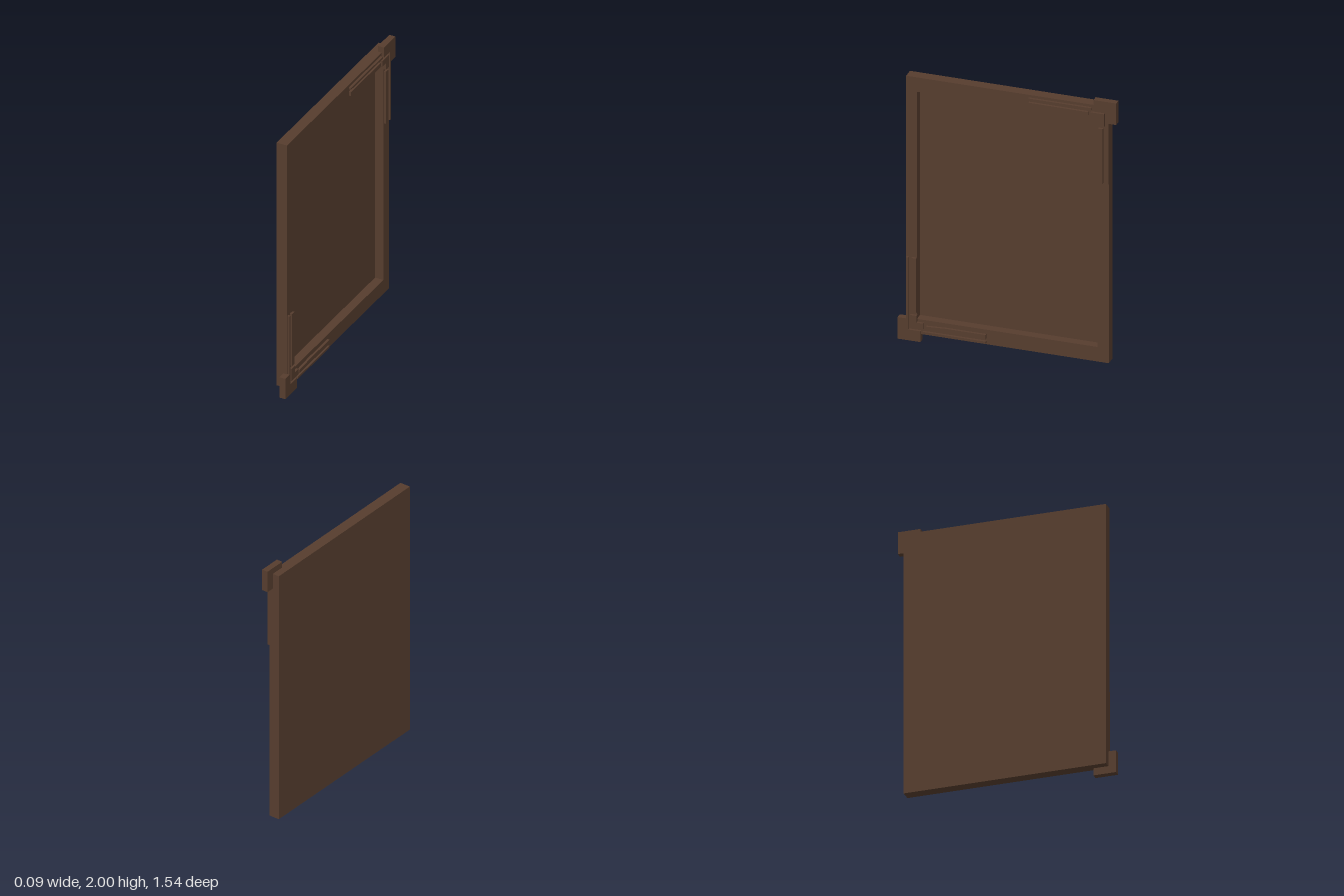
import * as THREE from 'three';

const wood = new THREE.MeshStandardMaterial({ color: 0x563d2e });

// Outline drawn in the plane seen from +x (first value runs towards -z), extruded along +x
function plate(name, points, x0, x1, hole) {
  const toVec = ([a, b]) => new THREE.Vector2(a, b);
  const shape = new THREE.Shape(points.map(toVec));
  if (hole) shape.holes.push(new THREE.Path(hole.map(toVec)));
  const geo = new THREE.ExtrudeGeometry(shape, { depth: x1 - x0, bevelEnabled: false });
  geo.rotateY(Math.PI / 2);
  geo.translate(x0, 0, 0);
  const mesh = new THREE.Mesh(geo, wood);
  mesh.name = name;
  return mesh;
}

const rect = (a0, a1, b0, b1) => [[a0, b0], [a1, b0], [a1, b1], [a0, b1]];

// Corner ornament for the upper corner; heights are measured from the panel centre
function cornerOrnament(name) {
  const g = new THREE.Group();
  g.name = name;
  const front = 0.045, seat = 0.02;
  g.add(
    // outer L-shaped corner block
    plate('cornerBlock', [[0.61, 0.92], [0.695, 0.92], [0.695, 0.84], [0.77, 0.84], [0.77, 1], [0.61, 1]], 0, front),
    // inner small bracket
    plate('cornerBracket', [[0.589, 0.86], [0.637, 0.86], [0.637, 0.81], [0.684, 0.81], [0.684, 0.905], [0.589, 0.905]], seat, front),
    // slightly tapered bars and thin outer strips
    plate('horizontalBar', [[0.15, 0.872], [0.43, 0.872], [0.57, 0.879], [0.57, 0.903], [0.15, 0.905]], seat, front),
    plate('verticalBar', rect(0.641, 0.674, 0.385, 0.793), seat, front),
    plate('horizontalStrip', rect(0.15, 0.595, 0.921, 0.936), seat, front),
    plate('verticalStrip', rect(0.695, 0.711, 0.385, 0.84), seat, front)
  );
  return g;
}

export function createModel() {
  const model = new THREE.Group();
  model.name = 'framedPanel';
  const body = new THREE.Group();
  body.name = 'body';
  body.position.y = 1;
  model.add(body);

  // raised border around a recessed panel
  const outer = rect(-0.716, 0.712, -0.948, 0.955);
  const opening = rect(-0.64, 0.634, -0.84, 0.848);
  body.add(plate('frame', outer, -0.035, 0.028, opening));
  body.add(plate('backPanel', outer, -0.05, -0.035));

  // ornaments at two opposite corners
  const lower = cornerOrnament('lowerCornerOrnament');
  lower.rotation.x = Math.PI;
  body.add(cornerOrnament('upperCornerOrnament'), lower);
  return model;
}
